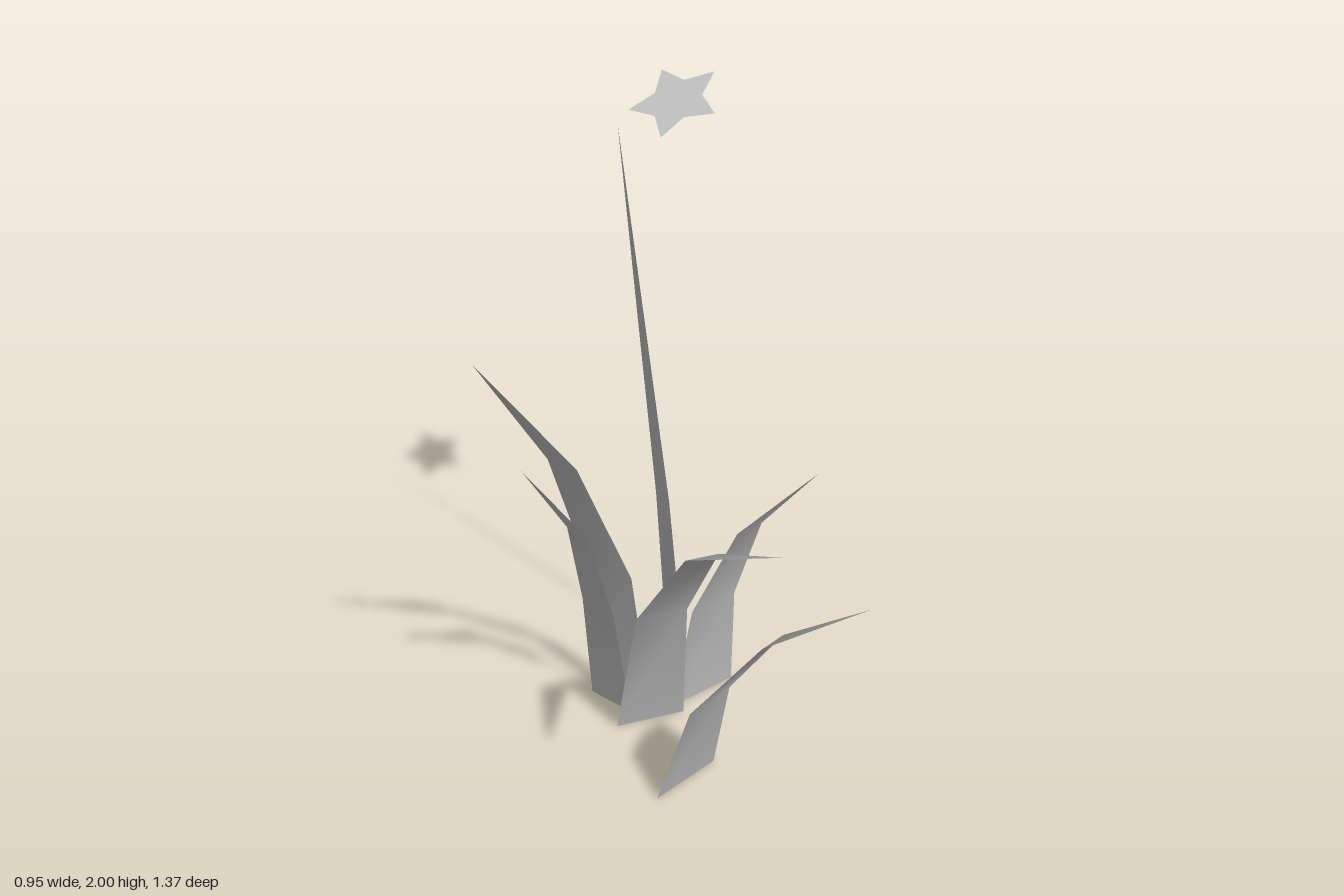
import * as THREE from 'three';

const grey = new THREE.MeshStandardMaterial({ color: 0xc0c0c0, side: THREE.DoubleSide });
grey.name = 'soft grey';

function surface(name, points, faces) {
  const geometry = new THREE.BufferGeometry();
  geometry.setAttribute('position', new THREE.Float32BufferAttribute(points.flat(), 3));
  geometry.setIndex(faces.flat());
  geometry.computeVertexNormals();
  const mesh = new THREE.Mesh(geometry, grey);
  mesh.name = name;
  return mesh;
}

// Tapering leaf: each row is [y, x and z of one edge, x and z of the other edge]
function blade(name, rows, tip) {
  const points = [];
  const faces = [];
  rows.forEach(([y, x1, z1, x2, z2], i) => {
    points.push([x1, y, z1], [x2, y, z2]);
    const a = i * 2;
    if (i < rows.length - 1) faces.push([a, a + 1, a + 3], [a, a + 3, a + 2]);
    else faces.push([a, a + 1, a + 2]);
  });
  points.push(tip);
  return surface(name, points, faces);
}

// Flat five-pointed star lying on a tilted plane
function star(name) {
  const cx = 0.342, cz = -0.56;
  const height = (x, z) => 1.965 + 0.42 * (x - 0.38) - 0.19 * (z - cz);
  const points = [[cx, height(cx, cz), cz]];
  const faces = [];
  for (let i = 0; i < 10; i++) {
    const angle = (i * Math.PI) / 5;
    const r = i % 2 ? 0.074 : 0.135;
    const x = cx + Math.cos(angle) * r * 0.97;
    const z = cz + Math.sin(angle) * r;
    points.push([x, height(x, z), z]);
    faces.push([0, ((i + 1) % 10) + 1, i + 1]);
  }
  return surface(name, points, faces);
}

export function createModel() {
  const model = new THREE.Group();
  model.name = 'starGrass';
  model.add(
    blade('longFrontBlade', [
      [0, -0.02, -0.38, 0.195, -0.32],
      [0.505, -0.03, -0.245, 0.13, -0.205],
      [0.955, -0.1, 0.115, -0.006, 0.14],
    ], [-0.217, 1.333, 0.683]),
    blade('shortFrontBlade', [
      [0, -0.108, -0.025, 0.134, -0.068],
      [0.365, -0.052, 0.068, 0.117, 0.032],
      [0.705, 0.035, 0.29, 0.123, 0.272],
    ], [0.135, 0.995, 0.617]),
    blade('sideBlade', [
      [0, 0.18, -0.363, 0.424, -0.374],
      [0.39, 0.222, -0.31, 0.392, -0.32],
      [0.76, 0.265, -0.14, 0.36, -0.147],
    ], [0.324, 1.1, 0.152]),
    blade('tallRearBlade', [
      [0, 0.04, -0.622, 0.117, -0.392],
      [0.53, 0, -0.572, 0.06, -0.403],
      [1.01, -0.176, -0.469, -0.138, -0.373],
    ], [-0.474, 1.48, -0.321]),
    blade('shortRearBlade', [
      [0, 0.01, -0.575, 0.055, -0.415],
      [0.42, -0.04, -0.53, -0.01, -0.402],
      [0.785, -0.145, -0.428, -0.127, -0.353],
    ], [-0.378, 1.147, -0.266]),
    blade('flowerStem', [
      [0, 0.328, -0.605, 0.334, -0.512],
      [0.66, 0.281, -0.591, 0.283, -0.521],
      [1.3, 0.212, -0.573, 0.212, -0.535],
    ], [0.144, 1.925, -0.553]),
    star('starFlower'),
  );
  return model;
}
